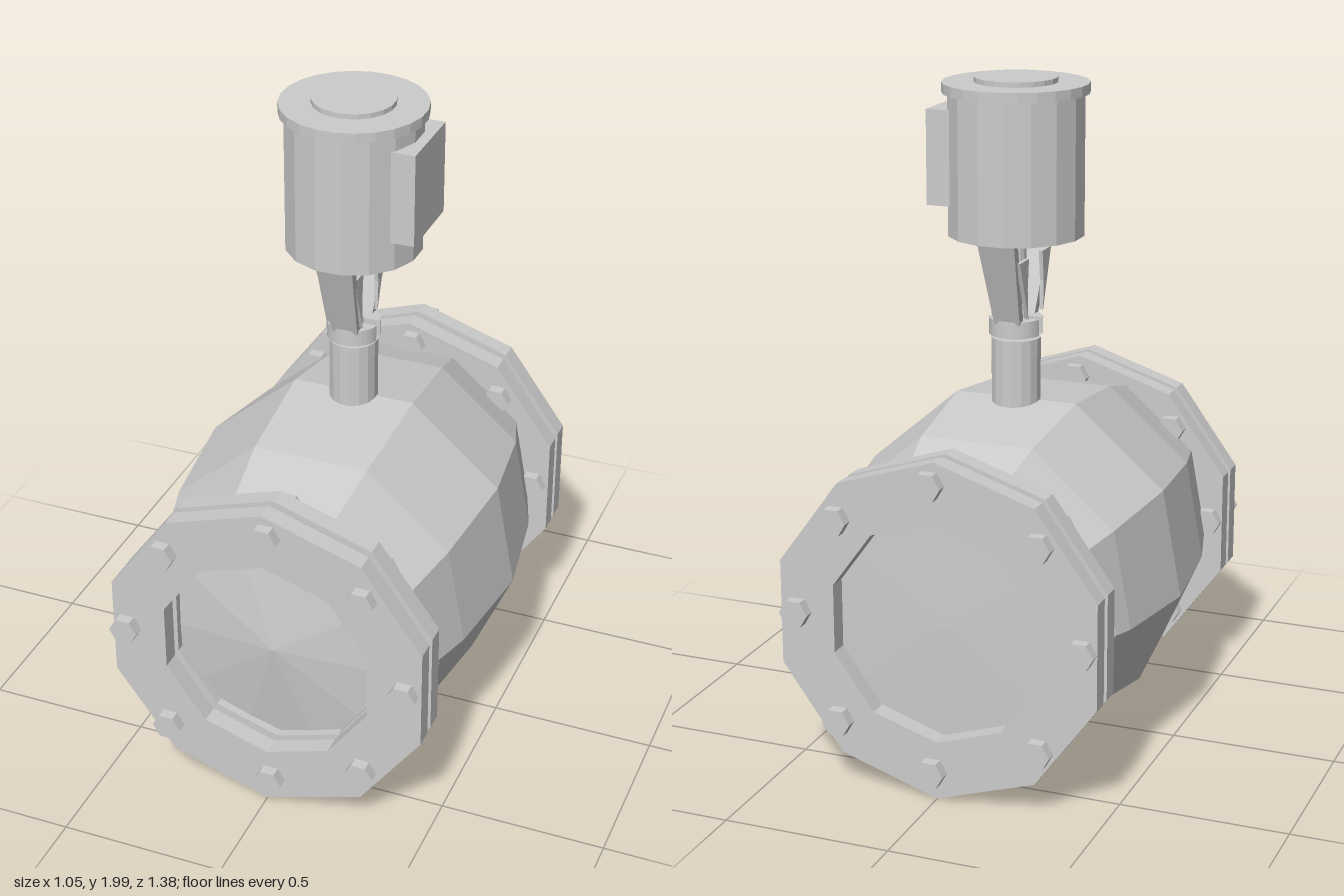
import * as THREE from 'three';

const AXIS_Z = -0.04; // vertical axis of the stem and motor
const CY = 0.515; // height of the barrel's axis

const material = new THREE.MeshStandardMaterial({ color: 0xcccccc, flatShading: true });
const thinMaterial = new THREE.MeshStandardMaterial({ color: 0xcccccc, flatShading: true, side: THREE.DoubleSide });

function add(parent, name, geometry, x = 0, y = 0, z = 0, mat = material) {
  const mesh = new THREE.Mesh(geometry, mat);
  mesh.name = name;
  mesh.position.set(x, y, z);
  parent.add(mesh);
  return mesh;
}

// Upright cylinder between two heights, on the motor axis
function post(parent, name, radius, y0, y1, sides) {
  const g = new THREE.CylinderGeometry(radius, radius, y1 - y0, sides);
  g.rotateY(Math.PI / sides);
  return add(parent, name, g, 0, (y0 + y1) / 2, AXIS_Z);
}

// Ten-sided barrel lofted through scaled sections, with shallow conical ends
function barrelGeometry() {
  const half = [[0.155, 0.033], [0.4, 0.195], [0.525, 0.48], [0.465, 0.803], [0.19, 1.04]];
  const section = [...half, ...half.map(([x, y]) => [-x, y]).reverse()];
  const rings = [[-0.59, 0.74], [-0.35, 0.905], [-0.04, 1], [0.3, 0.925], [0.54, 0.8]]
    .map(([z, s]) => section.map(([x, y]) => [x * s, CY + (y - CY) * s, z]));
  const back = [0, CY, -0.6], front = [0, CY, 0.597];
  const pos = [];
  const tri = (...corners) => corners.forEach((c) => pos.push(...c));
  const n = section.length;
  for (let j = 0; j < n; j++) {
    const k = (j + 1) % n;
    for (let i = 0; i < rings.length - 1; i++) {
      const [a, b, c, d] = [rings[i][j], rings[i][k], rings[i + 1][k], rings[i + 1][j]];
      tri(a, b, c);
      tri(a, c, d);
    }
    tri(back, rings[0][k], rings[0][j]);
    tri(front, rings[4][j], rings[4][k]);
  }
  const g = new THREE.BufferGeometry();
  g.setAttribute('position', new THREE.Float32BufferAttribute(pos, 3));
  g.computeVertexNormals();
  return g;
}

// Ten-sided ring plate with a vertex at the top
function flangeGeometry(depth) {
  const ring = (r) => Array.from({ length: 10 }, (_, i) => {
    const a = Math.PI / 2 + (i * Math.PI) / 5;
    return new THREE.Vector2(r * Math.cos(a), r * Math.sin(a));
  });
  const shape = new THREE.Shape(ring(0.508));
  shape.holes.push(new THREE.Path(ring(0.333)));
  const g = new THREE.ExtrudeGeometry(shape, { depth, bevelEnabled: false });
  g.translate(0, 0, -depth / 2);
  return g;
}

// Hexagonal or round rod lying along z, corners pointing sideways
function rodZ(radius, length) {
  const g = new THREE.CylinderGeometry(radius, radius, length, 6);
  g.rotateY(Math.PI / 2);
  g.rotateX(Math.PI / 2);
  return g;
}

// Slanted yoke arm: narrow at the collar, wide and far out at the motor
function armGeometry(side) {
  const g = new THREE.BoxGeometry(1, 1, 1);
  const p = g.attributes.position;
  for (let i = 0; i < p.count; i++) {
    const top = p.getY(i) > 0;
    p.setXYZ(i, p.getX(i) * (top ? 0.115 : 0.08), top ? 1.545 : 1.28,
      side * (top ? 0.148 : 0.058) + p.getZ(i) * 0.03);
  }
  g.computeVertexNormals();
  return g;
}

export function createModel() {
  const model = new THREE.Group();
  model.name = 'motorValve';

  add(model, 'barrel', barrelGeometry());

  // Bolted flange pairs at both ends
  const flange = flangeGeometry(0.057);
  const head = rodZ(0.044, 0.034);
  const shank = rodZ(0.022, 0.16);
  for (const s of [1, -1]) {
    const end = new THREE.Group();
    end.name = s > 0 ? 'frontFlanges' : 'backFlanges';
    model.add(end);
    add(end, 'innerFlange', flange, 0, CY, s * 0.547);
    add(end, 'outerFlange', flange, 0, CY, s * 0.629);
    for (let i = 0; i < 8; i++) {
      const a = (i * Math.PI) / 4;
      const x = 0.435 * Math.cos(a) + (i % 4 === 2 ? 0.013 : -0.004);
      const y = 0.524 + 0.433 * Math.sin(a) - (i % 2 ? 0.012 : 0);
      add(end, 'boltHead', head, x, y, s * 0.674);
      add(end, 'boltShank', shank, x, y, s * 0.588);
      add(end, 'nut', head, x, y, s * 0.502);
    }
  }

  // Stem and spindle
  post(model, 'stem', 0.074, 1.01, 1.23, 16);
  post(model, 'stemNeck', 0.035, 1.22, 1.265, 12);
  post(model, 'spindle', 0.014, 1.31, 1.47, 10);
  post(model, 'spindleCoupling', 0.031, 1.46, 1.545, 12);

  // Yoke: split collar, two arms and their stiffening fins
  const yoke = new THREE.Group();
  yoke.name = 'yoke';
  yoke.position.z = AXIS_Z;
  model.add(yoke);
  for (const s of [1, -1]) {
    const outline = new THREE.Shape();
    const a0 = 0.2;
    outline.absarc(0, 0, 0.08, a0, Math.PI - a0, false);
    outline.absarc(0, 0, 0.03, Math.PI - 0.5, 0.5, true);
    const collar = new THREE.ExtrudeGeometry(outline, { depth: 0.05, bevelEnabled: false, curveSegments: 8 });
    collar.rotateX(-Math.PI / 2);
    if (s > 0) collar.rotateY(Math.PI);
    add(yoke, 'collarHalf', collar, 0, 1.24, 0);
    add(yoke, 'yokeArm', armGeometry(s));

    const fin = new THREE.Shape([
      new THREE.Vector2(-s * 0.06, 1.3), new THREE.Vector2(-s * 0.125, 1.48),
      new THREE.Vector2(-s * 0.055, 1.48), new THREE.Vector2(-s * 0.065, 1.39),
    ]);
    const finGeometry = new THREE.ExtrudeGeometry(fin, { depth: 0.012, bevelEnabled: false });
    finGeometry.rotateY(Math.PI / 2);
    for (const x of [-0.062, 0.04]) add(yoke, 'armFin', finGeometry, x, 0, 0, thinMaterial);
  }

  // Motor housing with lid and terminal box
  post(model, 'motorHousing', 0.202, 1.54, 1.957, 16);
  post(model, 'motorLid', 0.215, 1.955, 1.985, 24);
  post(model, 'lidDisc', 0.122, 1.984, 2.0, 20);
  add(model, 'terminalBox', new THREE.BoxGeometry(0.13, 0.28, 0.245), 0.165, 1.77, AXIS_Z);

  return model;
}
